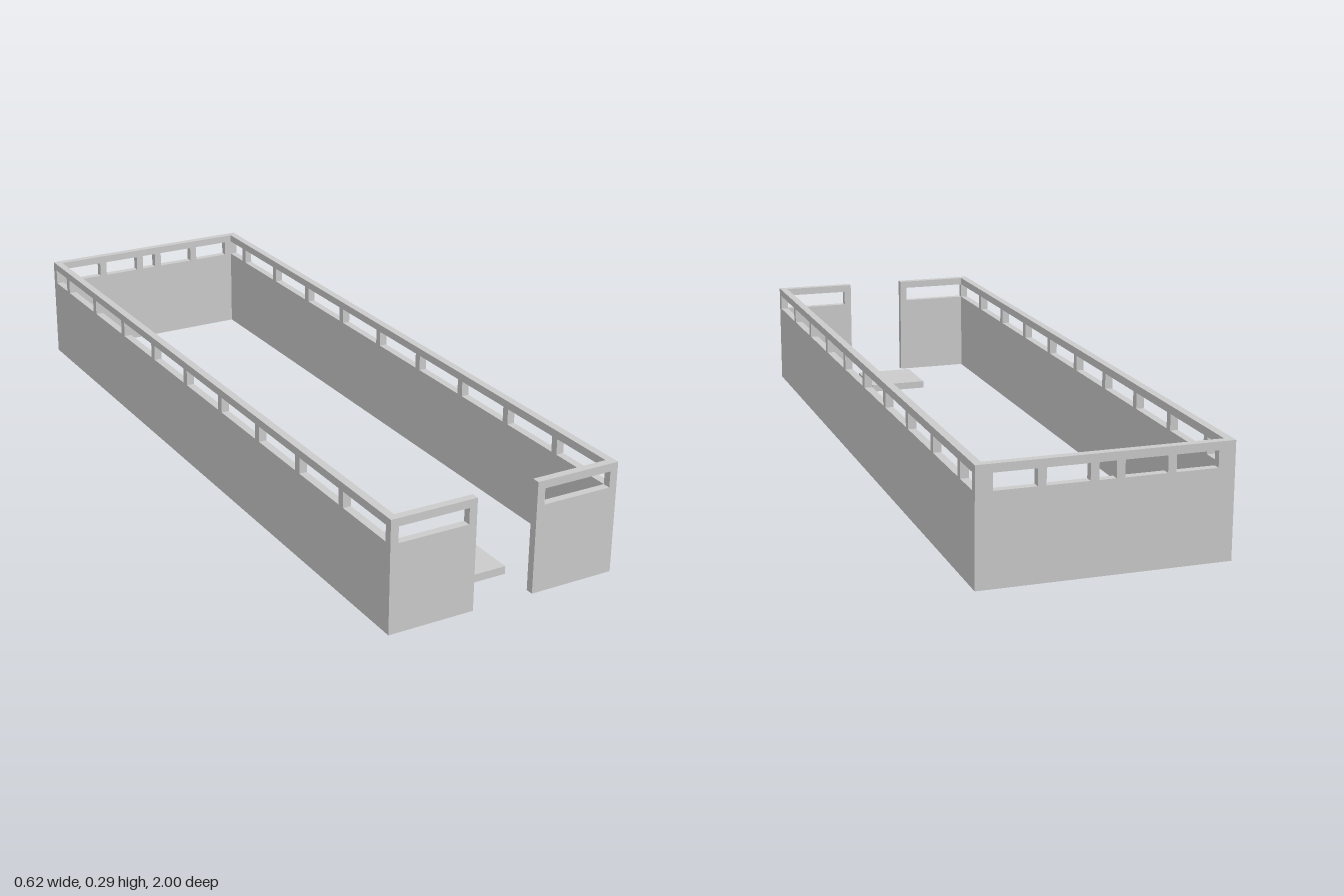
import * as THREE from 'three';

// One module of the layout; the walls are one unit thick.
const U = 1 / 48;
const SILL = 11, HEAD = 13, TOP = 14; // wall levels
const X = 15, Z = 48, DOOR = 4;       // half width, half length, half doorway

const material = new THREE.MeshStandardMaterial({ color: 0xcccccc, flatShading: true });

function addMesh(parent, name, geometry) {
  const mesh = new THREE.Mesh(geometry, material);
  mesh.name = name;
  parent.add(mesh);
  return mesh;
}

// Box given by its limits in layout units
function addBox(parent, name, x0, x1, y0, y1, z0, z1) {
  const mesh = addMesh(parent, name, new THREE.BoxGeometry((x1 - x0) * U, (y1 - y0) * U, (z1 - z0) * U));
  mesh.position.set((x0 + x1) / 2 * U, (y0 + y1) / 2 * U, (z0 + z1) / 2 * U);
  return mesh;
}

// Ring of wall around the floor plan, broken by the doorway at the front
function wallRing(y0, y1) {
  const half = [[DOOR, Z], [X, Z], [X, -Z]];
  const inner = [[X - 1, -Z + 1], [X - 1, Z - 1], [DOOR, Z - 1]];
  const mirror = (points) => points.map(([x, z]) => [-x, z]).reverse();
  const plan = [...half, ...mirror(half), ...mirror(inner), ...inner];
  const shape = new THREE.Shape(plan.map(([x, z]) => new THREE.Vector2(x * U, -z * U)));
  return new THREE.ExtrudeGeometry(shape, { depth: (y1 - y0) * U, bevelEnabled: false })
    .rotateX(-Math.PI / 2)
    .translate(0, y0 * U, 0);
}

export function createModel() {
  const model = new THREE.Group();
  model.name = 'walledEnclosure';

  // Solid lower wall and the rail above the windows
  addMesh(model, 'lowerWall', wallRing(0, SILL));
  addMesh(model, 'topRail', wallRing(HEAD, TOP));

  // Posts between the windows, mirrored left and right
  const posts = new THREE.Group();
  posts.name = 'windowPosts';
  model.add(posts);
  const post = (name, x0, x1, z0, z1) => {
    addBox(posts, 'left' + name, x0, x1, SILL, HEAD, z0, z1);
    addBox(posts, 'right' + name, -x1, -x0, SILL, HEAD, z0, z1);
  };
  post('FrontCornerPost', X - 1, X, Z - 1, Z);
  post('DoorPost', DOOR, DOOR + 1, Z - 1, Z);
  post('BackCornerPost', X - 2, X, -Z, -Z + 1);
  for (const x of [1, 7]) post('BackPost', x, x + 1, -Z, -Z + 1);
  for (let z = 37; z >= -43; z -= 10) post('SidePost', X - 1, X, z, z + 1);

  // Low slab just inside the doorway
  addBox(model, 'entranceSlab', -DOOR, DOOR, 0, 1, 34.7, 42.7);

  return model;
}
